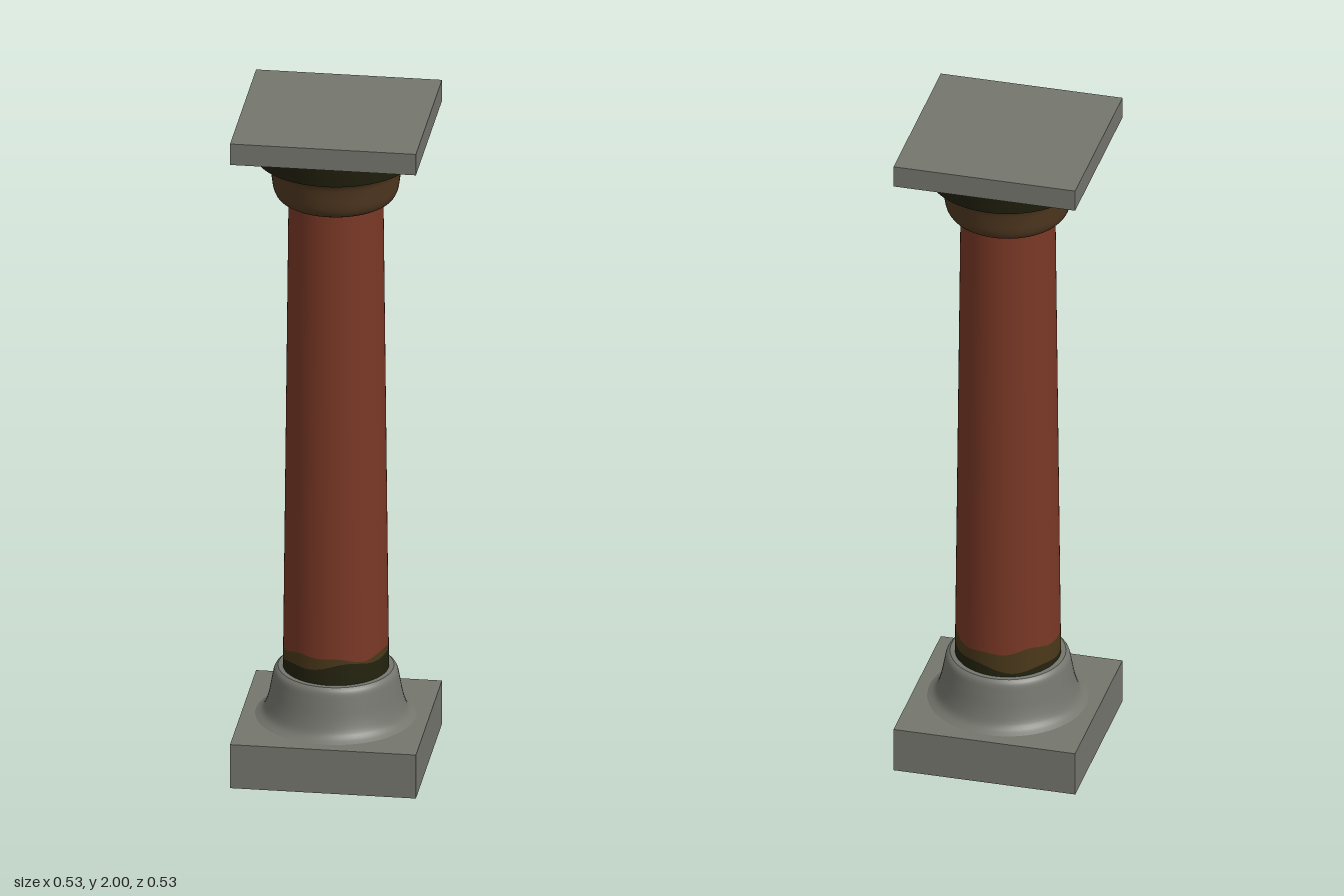
import * as THREE from 'three';

const mat = (name, color) => {
  const m = new THREE.MeshStandardMaterial({ color });
  m.name = name;
  return m;
};

export function createModel() {
  const group = new THREE.Group();
  const stone = mat('grey stone', 0x74756d);
  const red = mat('red shaft', 0x7a3826);
  const brown = mat('brown capital', 0x503820);
  const olive = mat('olive stain', 0x4a381a);
  const dark = mat('dark moss', 0x24230f);

  const add = (name, geometry, material, y = 0) => {
    const mesh = new THREE.Mesh(geometry, material);
    mesh.name = name;
    mesh.position.y = y;
    group.add(mesh);
  };
  const lathe = (pts) => new THREE.LatheGeometry(pts.map(([r, y]) => new THREE.Vector2(r, y)), 64);
  // smooth curve through a few profile points
  const smooth = (pts, n = 20) => new THREE.SplineCurve(pts.map(([r, y]) => new THREE.Vector2(r, y)))
    .getPoints(n).map((p) => [p.x, p.y]);

  // square slabs at foot and head
  add('plinth', new THREE.BoxGeometry(0.534, 0.135, 0.534), stone, 0.0675);
  add('abacus', new THREE.BoxGeometry(0.534, 0.065, 0.534), stone, 1.9675);

  // flared base
  add('base', lathe(smooth([[0.23, 0.135], [0.207, 0.152], [0.193, 0.19], [0.183, 0.24], [0.176, 0.272], [0.165, 0.284]])), stone);
  add('baseTop', lathe([[0.165, 0.284], [0.14, 0.285]]), stone);

  // tapered shaft, split by wavy stain edges
  const bottom = 0.284, top = 1.745;
  const radius = (y) => 0.151 - 0.016 * (y - bottom) / (top - bottom);
  const mossEdge = (a) => 0.322 + 0.023 * Math.cos(a - 0.75) + 0.006 * Math.sin(5 * a);
  const stainEdge = (a) => 0.36 + 0.007 * Math.cos(3 * a + 0.9) + 0.004 * Math.sin(7 * a);
  const ring = (low, high) => {
    const g = new THREE.CylinderGeometry(1, 1, 1, 96, 1, true);
    const p = g.attributes.position;
    for (let i = 0; i < p.count; i++) {
      const a = Math.atan2(p.getX(i), p.getZ(i));
      const y = p.getY(i) > 0 ? high(a) : low(a);
      p.setXYZ(i, radius(y) * Math.sin(a), y, radius(y) * Math.cos(a));
    }
    return g; // the cylinder's radial normals stay valid
  };
  add('mossBand', ring(() => bottom, mossEdge), dark);
  add('stainBand', ring(mossEdge, stainEdge), olive);
  add('shaft', ring(stainEdge, () => top), red);

  // rounded capital with a flared lip
  add('capitalUnderside', lathe([[0.12, 1.736], [0.145, 1.736]]), brown);
  add('capital', lathe(smooth([[0.145, 1.736], [0.166, 1.747], [0.178, 1.77], [0.184, 1.81], [0.19, 1.842], [0.203, 1.858], [0.228, 1.866]])), brown);

  // dark moulding under the abacus
  add('mouldingUnderside', lathe([[0.2, 1.866], [0.229, 1.866]]), dark);
  add('moulding', lathe([[0.229, 1.866], [0.243, 1.915], [0.247, 1.936]]), dark);

  return group;
}
